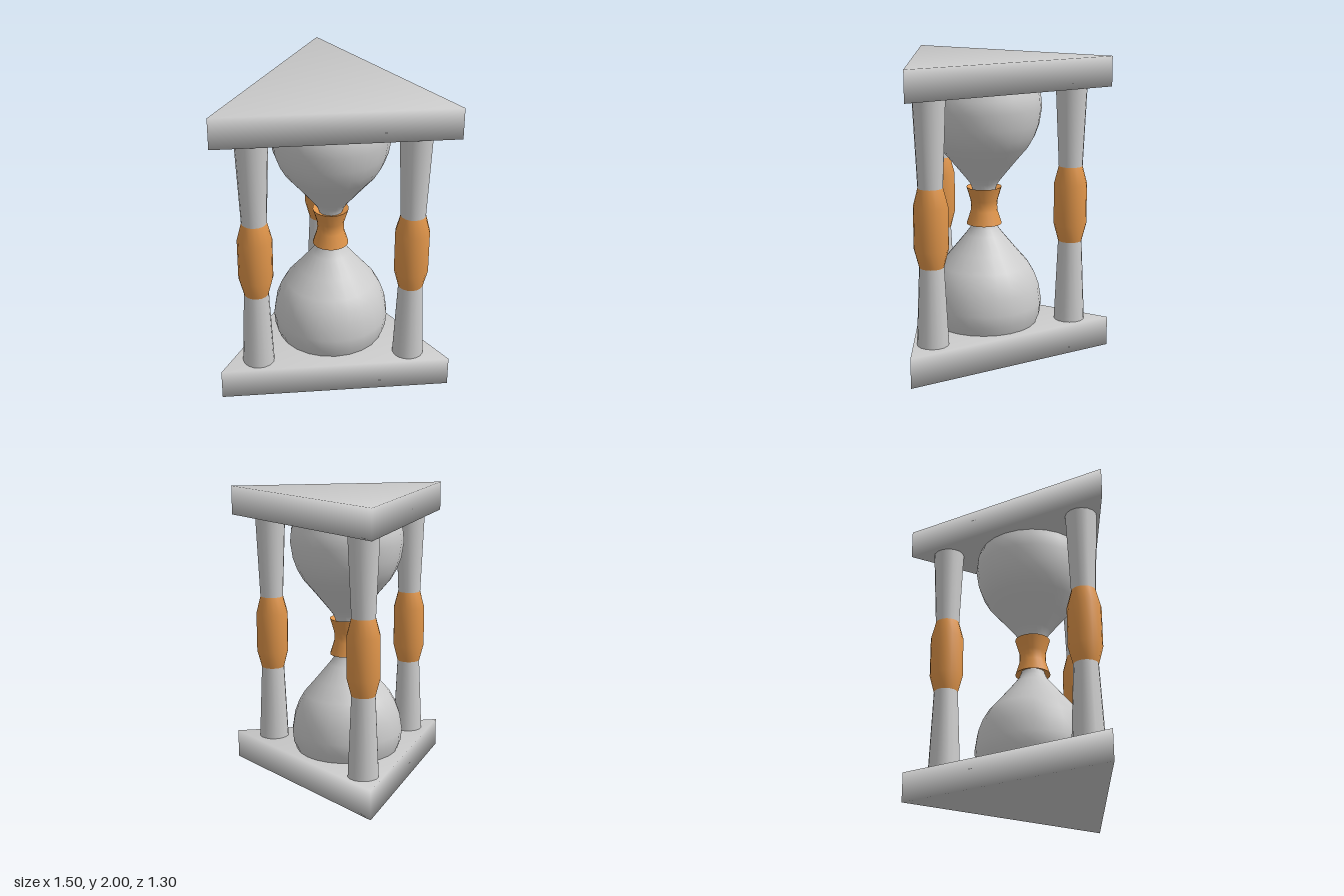
import * as THREE from 'three';
import { mergeVertices } from 'three/addons/utils/BufferGeometryUtils.js';

const grey = new THREE.MeshStandardMaterial({ color: 0xcccccc, side: THREE.DoubleSide });
const orange = new THREE.MeshStandardMaterial({ color: 0xe0954a, side: THREE.DoubleSide });

function part(name, geometry, material) {
  const mesh = new THREE.Mesh(geometry, material);
  mesh.name = name;
  return mesh;
}

// Turned part from [radius, height] pairs, listed bottom to top
function turned(name, profile, material, sides) {
  const points = profile.map(([r, y]) => new THREE.Vector2(r, y));
  return part(name, new THREE.LatheGeometry(points, sides), material);
}

// Triangular slab with normals shared over its corners
function plate(name, y) {
  const triangle = new THREE.Shape([
    new THREE.Vector2(-0.75, -0.65),
    new THREE.Vector2(0.75, -0.65),
    new THREE.Vector2(0, 0.65),
  ]);
  let geometry = new THREE.ExtrudeGeometry(triangle, { depth: 0.2, bevelEnabled: false });
  geometry.rotateX(-Math.PI / 2);
  geometry.deleteAttribute('uv');
  geometry.deleteAttribute('normal');
  geometry = mergeVertices(geometry, 1e-4);
  geometry.computeVertexNormals();
  const mesh = part(name, geometry, grey);
  mesh.position.y = y;
  return mesh;
}

// Tapered post with a coloured grip; lift shifts the grip only
function post(name, x, z, lift) {
  const low = 0.72 + lift, high = 1.235 + lift;
  const group = new THREE.Group();
  group.name = name;
  group.add(
    turned('lowerShaft', [[0.104, 0.2], [0.08, low]], grey, 16),
    turned('grip', [[0.08, low], [0.111, low + 0.12], [0.111, high - 0.12], [0.08, high]], orange, 16),
    turned('upperShaft', [[0.08, high], [0.104, 1.8]], grey, 16),
  );
  group.position.set(x, 0, z);
  return group;
}

export function createModel() {
  const model = new THREE.Group();
  model.name = 'hourglass';
  model.add(plate('bottomPlate', 0), plate('topPlate', 1.8));

  // Three posts, one near each corner
  model.add(
    post('leftPost', 0.495, 0.523, 0),
    post('rightPost', -0.5, 0.523, 0),
    post('backPost', 0, -0.385, 0.035),
  );

  // Glass: two mirrored bulbs joined by a narrow neck
  const bulb = [
    [0.35, 0.19], [0.378, 0.26], [0.386, 0.34], [0.369, 0.45], [0.34, 0.53], [0.3, 0.6],
    [0.215, 0.7], [0.125, 0.81], [0.095, 0.85], [0.078, 0.89], [0.07, 0.95],
  ];
  const upper = bulb.map(([r, y]) => [r, 2.01 - y]).reverse();
  const glass = new THREE.Group();
  glass.name = 'glass';
  glass.add(turned('bulbs', [...bulb, ...upper], grey, 24));

  // Waisted collar around the neck
  glass.add(turned('collar', [
    [0.118, 0.88], [0.09, 0.97], [0.088, 1.005], [0.09, 1.04], [0.118, 1.133],
  ], orange, 20));
  // Inner rims closing the collar against the neck
  glass.add(
    turned('collarBottomRim', [[0.07, 0.9], [0.118, 0.88]], orange, 20),
    turned('collarTopRim', [[0.118, 1.133], [0.07, 1.113]], orange, 20),
  );
  glass.position.set(0.01, 0, 0.195);
  model.add(glass);

  return model;
}
